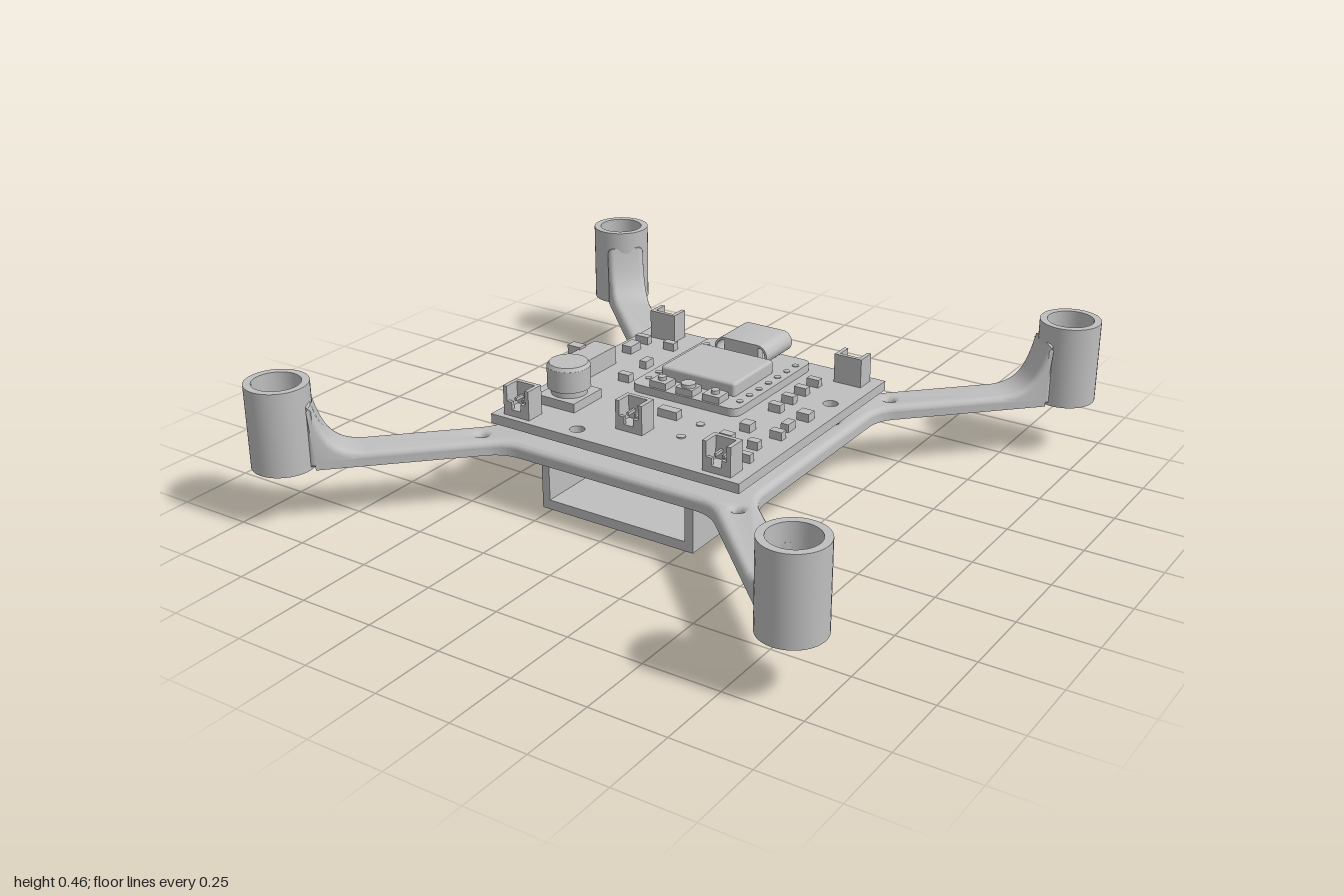
import * as THREE from 'three';
import { toCreasedNormals } from 'three/addons/utils/BufferGeometryUtils.js';
import { RoundedBoxGeometry } from 'three/addons/geometries/RoundedBoxGeometry.js';

const grey = new THREE.MeshStandardMaterial({ color: 0xbfbfbf });
grey.name = 'light grey plastic';

export function createModel() {
  const model = new THREE.Group();
  model.name = 'quadcopterFrame';

  const add = (name, geo, parent = model) => {
    const m = new THREE.Mesh(geo, grey);
    m.name = name;
    parent.add(m);
    return m;
  };
  // box given by its centre in x/z, its size in x/z and its bottom and top
  const block = (name, x, z, w, d, y0, y1, parent) =>
    add(name, new THREE.BoxGeometry(w, y1 - y0, d).translate(x, (y0 + y1) / 2, z), parent);
  const disc = (name, x, z, r, y0, y1, parent) =>
    add(name, new THREE.CylinderGeometry(r, r, y1 - y0, 24).translate(x, (y0 + y1) / 2, z), parent);
  // plan outline (x, z) raised from y0 to y1, with optional bevel
  const slab = (shape, y0, y1, bevel = 0) => {
    const g = new THREE.ExtrudeGeometry(shape, {
      depth: y1 - y0 - 2 * bevel, curveSegments: 20, bevelEnabled: bevel > 0,
      bevelThickness: bevel, bevelSize: bevel, bevelOffset: -bevel, bevelSegments: 4,
    });
    return toCreasedNormals(g.rotateX(Math.PI / 2).translate(0, y1 - bevel, 0), 0.6);
  };
  const rect = (x0, z0, x1, z1) => new THREE.Shape([
    new THREE.Vector2(x0, z0), new THREE.Vector2(x1, z0),
    new THREE.Vector2(x1, z1), new THREE.Vector2(x0, z1)]);
  const drill = (shape, x, z, r) => shape.holes.push(new THREE.Path().absarc(x, z, r, 0, Math.PI * 2, true));

  // X-shaped frame: square plate with four arms and filleted roots
  const outline = new THREE.Shape();
  for (let k = 0; k < 4; k++) {
    const c = Math.round(Math.cos(k * Math.PI / 2)), s = Math.round(Math.sin(k * Math.PI / 2));
    const p = (x, y) => [x * c - y * s, x * s + y * c];
    if (k === 0) outline.moveTo(...p(0.474, 0.32));
    else outline.lineTo(...p(0.474, 0.32));
    outline.quadraticCurveTo(...p(0.474, 0.38), ...p(0.516, 0.422));
    outline.lineTo(...p(0.881, 0.787));
    outline.lineTo(...p(0.787, 0.881));
    outline.lineTo(...p(0.422, 0.516));
    outline.quadraticCurveTo(...p(0.38, 0.474), ...p(0.32, 0.474));
  }
  for (const x of [-0.47, 0.47]) for (const z of [-0.47, 0.47]) drill(outline, x, z, 0.014);
  drill(outline, 0.39, -0.215, 0.024);
  add('frameBase', slab(outline, 0.185, 0.21));
  add('frameTop', slab(outline, 0.188, 0.23, 0.02));

  // motor mounts with the ramp rising to each one
  const ring = new THREE.Shape().absarc(0, 0, 0.1, 0, Math.PI * 2);
  drill(ring, 0, 0, 0.076);
  const floor = new THREE.Shape().absarc(0, 0, 0.08, Math.PI / 2, Math.PI * 1.5);
  const ramp = new THREE.Shape();
  ramp.moveTo(1.0, 0.19);
  ramp.lineTo(1.198, 0.19);
  ramp.lineTo(1.198, 0.4);
  ramp.lineTo(1.178, 0.4);
  ramp.bezierCurveTo(1.15, 0.28, 1.12, 0.235, 1.03, 0.23);
  ramp.lineTo(1.0, 0.229);
  const rampGeo = toCreasedNormals(new THREE.ExtrudeGeometry(ramp, {
    depth: 0.092, curveSegments: 12, bevelThickness: 0.02, bevelSize: 0.02, bevelOffset: -0.02, bevelSegments: 4,
  }).translate(0, 0, -0.046), 0.6);
  for (let k = 0; k < 4; k++) {
    const arm = new THREE.Group();
    arm.name = 'motorArm';
    arm.rotation.y = Math.PI / 4 + k * Math.PI / 2;
    add('motorMount', slab(ring, 0.185, 0.46).translate(1.273, 0, 0), arm);
    add('mountFloor', slab(floor, 0.185, 0.23).translate(1.273, 0, 0), arm);
    add('armRamp', rampGeo, arm);
    model.add(arm);
  }

  // battery tray: sleeve open at the front, smaller window at the back
  const sleeve = (x0, y0, x1, y1, z0, z1) => {
    const s = rect(-0.285, 0, 0.277, 0.186);
    s.holes.push(new THREE.Path(rect(x0, y0, x1, y1).getPoints().reverse()));
    return new THREE.ExtrudeGeometry(s, { depth: z1 - z0, bevelEnabled: false }).translate(0, 0, z0);
  };
  add('batteryTray', sleeve(-0.257, 0.032, 0.247, 0.152, -0.41, 0.41));
  add('batteryTrayBack', sleeve(-0.178, 0.048, 0.165, 0.142, -0.44, -0.41));

  // concave flare joining the tray to the plate
  const pos = [];
  const steps = 8;
  const corners = (i) => {
    const a = i / steps * Math.PI / 2, o = 0.055 * (1 - Math.cos(a)), y = 0.154 + 0.034 * Math.sin(a);
    return [[-0.285 - o, y, 0.41 + o], [0.277 + o, y, 0.41 + o], [0.277 + o, y, -0.44 - o], [-0.285 - o, y, -0.44 - o]];
  };
  for (let i = 0; i < steps; i++) {
    const a = corners(i), b = corners(i + 1);
    for (let j = 0; j < 4; j++) {
      const n = (j + 1) % 4;
      pos.push(...a[j], ...a[n], ...b[n], ...a[j], ...b[n], ...b[j]);
    }
  }
  const flare = new THREE.BufferGeometry();
  flare.setAttribute('position', new THREE.Float32BufferAttribute(pos, 3));
  add('trayFlare', toCreasedNormals(flare, 0.6));

  // circuit board on standoffs
  const T = 0.288;
  const board = rect(-0.46, -0.472, 0.45, 0.433);
  drill(board, 0.39, -0.215, 0.024);
  drill(board, -0.165, 0.38, 0.024);
  add('circuitBoard', slab(board, 0.256, T));
  for (const [x, z] of [[-0.36, -0.41], [0.36, -0.41], [-0.375, 0.37], [0.36, 0.37], [-0.02, 0.28], [-0.32, 0.21]])
    for (const dx of [-0.03, 0.03]) disc('boardPin', x + dx, z, 0.017, 0.228, 0.258);
  for (const x of [-0.17, 0.17]) block('pinStrip', x, -0.2, 0.03, 0.4, 0.238, 0.258);

  // controller module with shield, port, buttons and pads
  const M = 0.315;
  const card = new THREE.Shape();
  card.moveTo(-0.165, -0.43);
  card.lineTo(0.165, -0.43);
  card.quadraticCurveTo(0.2, -0.43, 0.2, -0.395);
  card.lineTo(0.2, 0.01);
  card.quadraticCurveTo(0.2, 0.045, 0.165, 0.045);
  card.lineTo(-0.165, 0.045);
  card.quadraticCurveTo(-0.2, 0.045, -0.2, 0.01);
  card.lineTo(-0.2, -0.395);
  card.quadraticCurveTo(-0.2, -0.43, -0.165, -0.43);
  add('controllerCard', slab(card, T - 0.003, M));
  add('shieldCan', new RoundedBoxGeometry(0.28, 0.06, 0.24, 2, 0.01).translate(0, 0.329, -0.16));
  // hollow oval port opening to the back
  const oval = (w, r) => new THREE.Path().absarc(w, 0, r, -Math.PI / 2, Math.PI / 2).absarc(-w, 0, r, Math.PI / 2, Math.PI * 1.5);
  const port = new THREE.Shape(oval(0.064, 0.036).getPoints(10));
  port.holes.push(new THREE.Path(oval(0.064, 0.028).getPoints(10).reverse()));
  add('portShell', toCreasedNormals(new THREE.ExtrudeGeometry(port, { depth: 0.165, bevelEnabled: false })
    .translate(0, 0.349, -0.467), 0.6));
  block('portBack', 0, -0.32, 0.13, 0.03, 0.318, 0.38);
  block('portTongue', 0, -0.39, 0.1, 0.12, 0.344, 0.354);
  for (const x of [-0.1, 0, 0.1]) {
    block('buttonBody', x, 0.01, 0.062, 0.056, M - 0.002, 0.338);
    disc('buttonCap', x, 0.01, x ? 0.014 : 0.024, 0.337, 0.35);
  }
  for (const x of [-0.173, 0.173])
    for (let i = 0; i < 7; i++) disc('solderPad', x, -0.367 + i * 0.058, 0.011, M - 0.002, M + 0.003);

  // open-sided plugs: [x, z, facing]
  for (const [x, z, f] of [[-0.36, -0.41, -1], [0.36, -0.41, -1], [-0.375, 0.38, 1], [0.36, 0.38, 1], [-0.02, 0.28, 1]]) {
    const plug = new THREE.Group();
    plug.name = 'plugSocket';
    plug.position.set(x, 0, z);
    plug.rotation.y = f > 0 ? 0 : Math.PI;
    block('socketFloor', 0, 0, 0.098, 0.066, T, 0.31, plug);
    block('socketBack', 0, -0.026, 0.098, 0.014, T, 0.385, plug);
    for (const s of [-1, 1]) {
      block('socketSide', s * 0.042, 0, 0.014, 0.066, T, 0.385, plug);
      block('socketLip', s * 0.03, 0.027, 0.026, 0.012, T, 0.335, plug);
      block('socketPin', s * 0.014, -0.002, 0.008, 0.04, 0.335, 0.345, plug);
    }
    model.add(plug);
  }

  // slide switch
  block('switchBody', -0.414, -0.017, 0.086, 0.196, T, 0.35);
  block('switchLever', -0.475, -0.04, 0.05, 0.035, 0.318, 0.358);

  // capacitor on its square foot
  block('capacitorFoot', -0.317, 0.215, 0.144, 0.148, T, 0.318);
  disc('capacitorNeck', -0.317, 0.215, 0.058, 0.315, 0.345);
  add('capacitorCan', new THREE.CylinderGeometry(0.062, 0.07, 0.012, 32).translate(-0.317, 0.416, 0.215));
  disc('capacitorBody', -0.317, 0.215, 0.07, 0.34, 0.411);

  // small surface parts: [x, z, width, depth]
  const chips = [
    [-0.4, -0.32, 0.05, 0.024], [-0.29, -0.32, 0.043, 0.027], [-0.393, -0.237, 0.037, 0.06],
    [-0.27, -0.147, 0.027, 0.043], [-0.26, -0.013, 0.043, 0.027], [-0.13, 0.147, 0.04, 0.027],
    [0.02, 0.147, 0.07, 0.032], [0.275, -0.312, 0.043, 0.024], [0.275, -0.232, 0.043, 0.027],
    [0.275, -0.152, 0.043, 0.027], [0.275, -0.072, 0.043, 0.027], [0.383, -0.067, 0.043, 0.037],
    [0.377, 0.03, 0.027, 0.043], [0.275, 0.1, 0.037, 0.037], [0.382, 0.1, 0.043, 0.027],
    [0.265, 0.2, 0.043, 0.027], [0.36, 0.2, 0.037, 0.027], [0.27, 0.27, 0.04, 0.06], [0.382, 0.29, 0.048, 0.022],
  ];
  for (const [x, z, w, d] of chips) block('chip', x, z, w, d, T - 0.002, 0.315);
  for (const z of [0.147, 0.254]) disc('testPad', 0.133, z, 0.014, T - 0.002, T + 0.004);

  return model;
}
